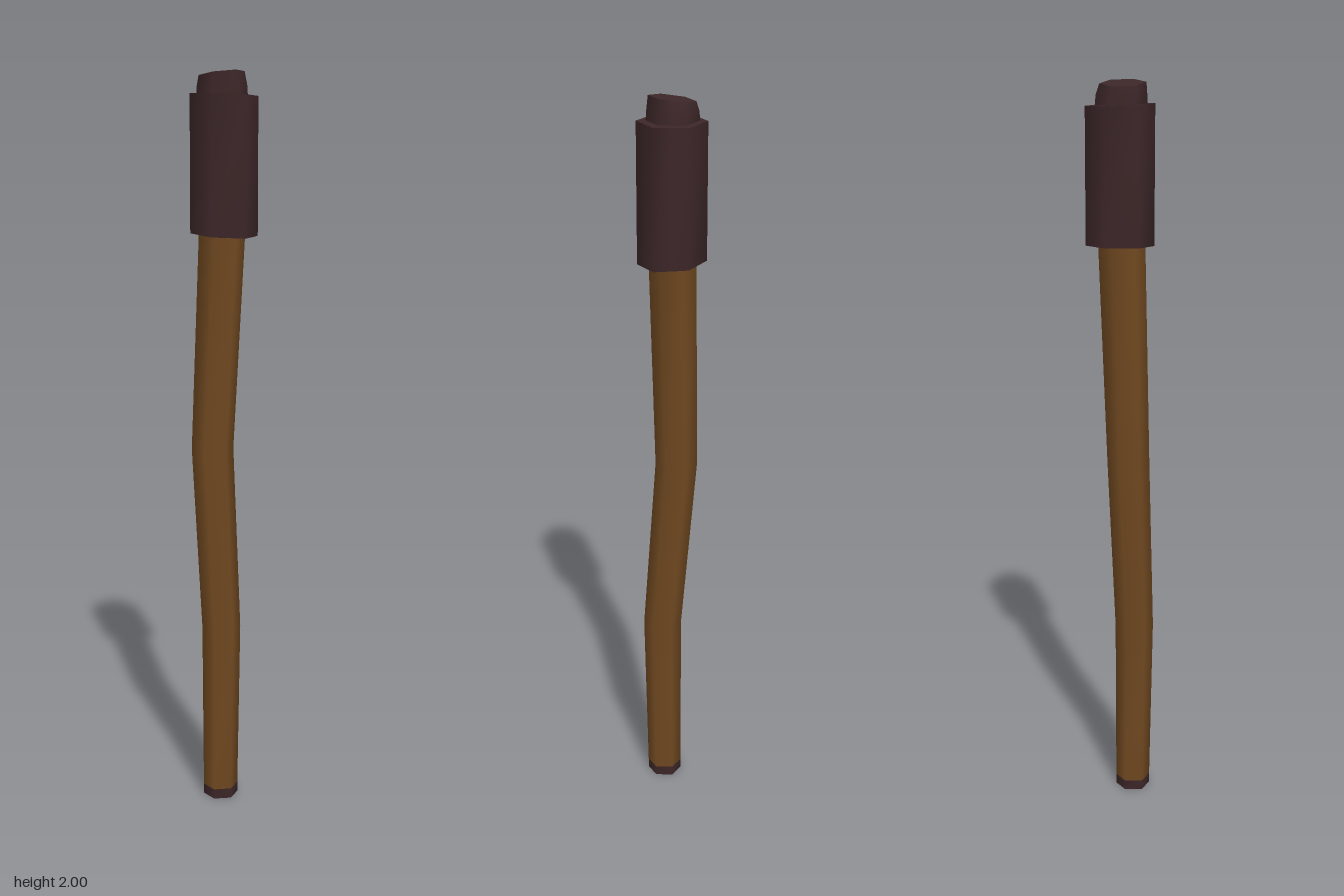
import * as THREE from 'three';

const HEX = [0, 60, 120, 180, 240, 300].map((d) => {
  const a = THREE.MathUtils.degToRad(d);
  return [Math.cos(a), Math.sin(a)];
});
// Same outline with a shallow groove in the middle of the back
const GROOVED = [...HEX.slice(0, 5), [0, -0.88], HEX[5]];

// Smooth-sided loft with flat caps; ring = [x, y, z, radius, slopeX, slopeZ]
function loft(outline, rings) {
  const n = outline.length, pos = [], idx = [];
  const points = rings.map(([x, y, z, r, sx = 0, sz = 0]) =>
    outline.map(([u, v]) => [x + u * r, y + u * r * sx + v * r * sz, z + v * r]));
  points.forEach((ring) => ring.forEach((p) => pos.push(...p)));
  for (let k = 0; k < rings.length - 1; k++) {
    for (let i = 0; i < n; i++) {
      const j = (i + 1) % n, a = k * n + i, b = k * n + j;
      idx.push(a, a + n, b, b, a + n, b + n);
    }
  }
  [0, rings.length - 1].forEach((k) => {
    const base = pos.length / 3;
    points[k].forEach((p) => pos.push(...p));
    pos.push(...rings[k].slice(0, 3));
    for (let i = 0; i < n; i++) {
      const a = base + i, b = base + (i + 1) % n, c = base + n;
      if (k === 0) idx.push(c, a, b);
      else idx.push(c, b, a);
    }
  });
  const g = new THREE.BufferGeometry();
  g.setAttribute('position', new THREE.Float32BufferAttribute(pos, 3));
  g.setIndex(idx);
  g.computeVertexNormals();
  return g;
}

export function createModel() {
  const group = new THREE.Group();
  const wood = new THREE.MeshStandardMaterial({ color: 0x6f4820 });
  wood.name = 'brown wood';
  const dark = new THREE.MeshStandardMaterial({ color: 0x3c2628 });
  dark.name = 'dark wrapping';

  const add = (name, material, outline, rings) => {
    const mesh = new THREE.Mesh(loft(outline, rings), material);
    mesh.name = name;
    group.add(mesh);
  };

  // Charred foot and crooked shaft
  add('foot', dark, HEX, [[0.023, 0, 0.03, 0.048], [0.023, 0.028, 0.03, 0.048]]);
  add('shaft', wood, HEX, [
    [0.023, 0.028, 0.03, 0.048],
    [0.028, 0.5, 0.031, 0.053],
    [-0.011, 1.0, 0.031, 0.057],
    [-0.001, 1.6, 0.005, 0.062],
  ]);

  // Wrapped head and its slanted tip
  add('head', dark, GROOVED, [
    [0, 1.577, 0, 0.09, -0.06, 0.02],
    [0, 1.937, 0, 0.09, 0, 0.04],
  ]);
  add('tip', dark, GROOVED, [
    [-0.002, 1.925, 0.005, 0.068],
    [-0.002, 1.96, 0.005, 0.066],
    [0, 1.991, 0.008, 0.06, 0.12, -0.03],
  ]);
  return group;
}
